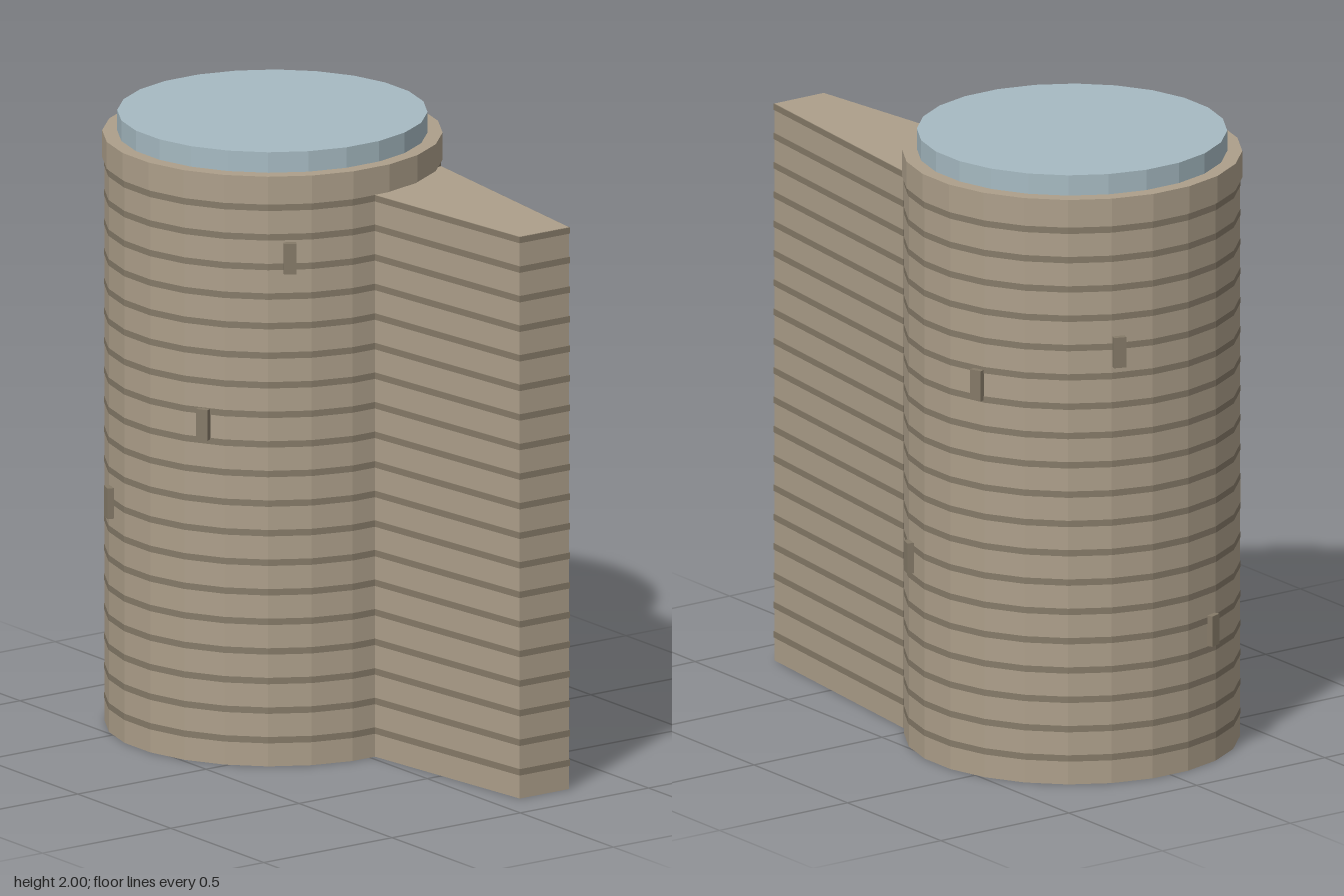
import * as THREE from 'three';

const SIDES = 24, CX = -0.3325, COURSES = 19, STEP = 1.84 / COURSES, BAND = 0.021;

const mat = (name, color, extra = {}) => {
  const m = new THREE.MeshStandardMaterial({ color, flatShading: true, ...extra });
  m.name = name;
  return m;
};

export function createModel() {
  const stone = mat('stone', 0xad9f8a);
  const innerStone = stone.clone(); // same colour, visible from both sides
  innerStone.side = THREE.DoubleSide;
  const darkStone = mat('dark stone', 0x857a68);
  const glass = mat('pale blue roof', 0xa6bac2);
  const model = new THREE.Group();
  model.name = 'roundTower';

  const add = (name, geometry, material, x = 0, y = 0, z = 0) => {
    const mesh = new THREE.Mesh(geometry, material);
    mesh.name = name;
    mesh.position.set(x, y, z);
    model.add(mesh);
    return mesh;
  };

  // 24-sided drum with a flat face on each axis; r is the corner radius
  const drum = (name, r, y0, y1, material, open = false) => {
    const g = new THREE.CylinderGeometry(r, r, y1 - y0, SIDES, 1, open);
    g.rotateY(Math.PI / SIDES);
    return add(name, g, material, CX, (y0 + y1) / 2, 0);
  };

  // Prism from a ground plan given as [x, z] points
  const prism = (name, plan, y0, y1, material) => {
    const shape = new THREE.Shape(plan.map(([x, z]) => new THREE.Vector2(x, -z)));
    const g = new THREE.ExtrudeGeometry(shape, { depth: y1 - y0, bevelEnabled: false });
    g.rotateX(-Math.PI / 2);
    return add(name, g, material, 0, y0, 0);
  };

  // Tower: hollow lowest course, solid shaft above, collar and roof
  drum('towerFoot', 0.53, 0, STEP, innerStone, true);
  drum('towerShaft', 0.53, STEP - 0.01, 1.845, stone);
  drum('collar', 0.5375, 1.845, 1.933, stone);
  drum('roof', 0.49, 1.92, 2, glass);

  // Radiating ribs under the tower, fanning out from one corner of the foot
  const corner = (i) => {
    const a = (i + 0.5) * 2 * Math.PI / SIDES;
    return [CX + 0.527 * Math.cos(a), 0.527 * Math.sin(a)];
  };
  const [ax, az] = corner(0);
  const ribs = [];
  for (let i = 2; i < SIDES - 1; i++) {
    const [bx, bz] = corner(i);
    ribs.push(ax, 0.002, az, bx, 0.002, bz, bx, STEP, bz);
    ribs.push(ax, 0.002, az, bx, STEP, bz, ax, STEP, az);
  }
  const ribGeometry = new THREE.BufferGeometry();
  ribGeometry.setAttribute('position', new THREE.Float32BufferAttribute(ribs, 3));
  ribGeometry.computeVertexNormals();
  add('footRibs', ribGeometry, innerStone);

  // Tapering wing wall
  const wingPlan = (e) => [
    [0.862 + e, -0.098 + e], [0.18, -0.017 + e], [0.04, -0.387 - e], [0.862 + e, -0.29 - e],
  ];
  prism('wing', wingPlan(0), 0, 1.84, stone);

  // Thin dark joint at the top of every course, on tower and wing
  for (let i = 1; i <= COURSES; i++) {
    const top = i * STEP;
    drum('towerJoint', 0.532, top - BAND, top, darkStone, true);
    prism('wingJoint', wingPlan(0.002), top - BAND, top - (i === COURSES ? 0.001 : 0), darkStone);
  }

  // Narrow window slits: [angle in degrees from +x towards +z, height]
  const slits = [
    [30, 1.665], [60, 1.11], [110, 0.76], [160, 0.44], [200, 1.425], [250, 1.295], [290, 0.635],
  ];
  for (const [deg, y] of slits) {
    const a = THREE.MathUtils.degToRad(deg);
    const slit = add('windowSlit', new THREE.BoxGeometry(0.04, 0.1, 0.03), darkStone,
      CX + 0.532 * Math.cos(a), y, 0.532 * Math.sin(a));
    slit.rotation.y = Math.PI / 2 - a;
  }
  return model;
}
